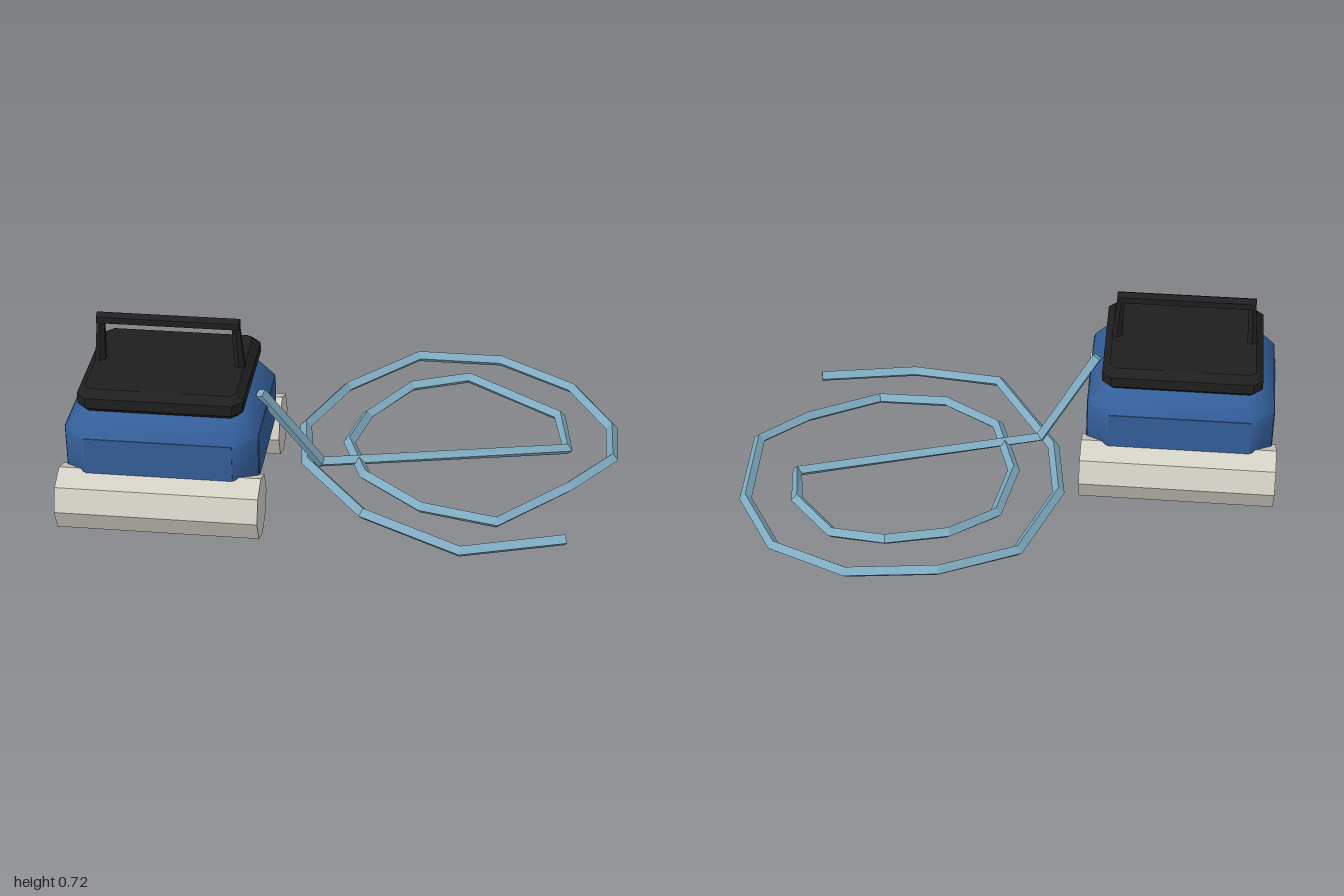
import * as THREE from 'three';
import { toCreasedNormals } from 'three/addons/utils/BufferGeometryUtils.js';

const material = (name, color) => {
  const m = new THREE.MeshStandardMaterial({ color });
  m.name = name;
  return m;
};

// Skins a stack of closed rings of Vector3 and caps both ends.
function loft(rings, crease) {
  const n = rings[0].length, last = (rings.length - 1) * n, index = [];
  for (let i = 0; i < rings.length - 1; i++) {
    for (let j = 0; j < n; j++) {
      const k = (j + 1) % n;
      const a = i * n + j, b = i * n + k;
      index.push(a, b, b + n, a, b + n, a + n);
    }
  }
  for (let j = 1; j < n - 1; j++) {
    index.push(0, j + 1, j, last, last + j, last + j + 1);
  }
  const g = new THREE.BufferGeometry().setFromPoints(rings.flat());
  g.setIndex(index);
  return toCreasedNormals(g, crease);
}

// Horizontal rectangle with cut corners: half width a, half depth b, cut c.
function cutRect(y, a, b, c) {
  return [
    [a, b - c], [a, c - b], [a - c, -b], [c - a, -b],
    [-a, c - b], [-a, b - c], [c - a, b], [a - c, b],
  ].map(([x, z]) => new THREE.Vector3(x, y, z));
}

// Four-sided cable along a bent path.
function cableGeometry(points, r) {
  const path = points.map((p) => new THREE.Vector3(...p));
  const up = new THREE.Vector3(0, 1, 0);
  const rings = path.map((p, i) => {
    const t = new THREE.Vector3();
    if (i > 0) t.add(p.clone().sub(path[i - 1]).normalize());
    if (i < path.length - 1) t.add(path[i + 1].clone().sub(p).normalize());
    t.normalize();
    const s = up.clone().cross(t).normalize();
    const n = t.clone().cross(s);
    return [0, 1, 2, 3].map((k) => p.clone()
      .addScaledVector(s, r * Math.cos(k * Math.PI / 2))
      .addScaledVector(n, r * Math.sin(k * Math.PI / 2)));
  });
  return loft(rings, 0.1);
}

export function createModel() {
  const blue = material('body blue', 0x345f9b);
  const black = material('lid black', 0x1f1f1f);
  const cream = material('roller cream', 0xd3d0c6);
  const cableBlue = material('cable blue', 0x7fabc1);

  const model = new THREE.Group();
  const robot = new THREE.Group();
  robot.name = 'robot';
  robot.position.set(-0.635, 0, 0.27);
  model.add(robot);

  const add = (parent, name, geometry, mat, x = 0, y = 0, z = 0) => {
    const mesh = new THREE.Mesh(geometry, mat);
    mesh.name = name;
    mesh.position.set(x, y, z);
    parent.add(mesh);
    return mesh;
  };

  // Body with bevelled top and underside
  add(robot, 'body', loft([
    cutRect(0.12, 0.28, 0.23, 0.03),
    cutRect(0.2, 0.347, 0.297, 0.075),
    cutRect(0.37, 0.347, 0.297, 0.075),
    cutRect(0.445, 0.28, 0.235, 0.03),
  ], 0.95), blue);

  // Flat panels on the four sides
  for (const s of [-1, 1]) {
    add(robot, 'longPanel', new THREE.BoxGeometry(0.53, 0.17, 0.006), blue, 0, 0.285, s * 0.297);
    add(robot, 'shortPanel', new THREE.BoxGeometry(0.006, 0.17, 0.43), blue, s * 0.347, 0.285, 0);
  }

  // Lid
  add(robot, 'lid', loft([
    cutRect(0.44, 0.27, 0.22, 0.02),
    cutRect(0.468, 0.297, 0.25, 0.035),
    cutRect(0.508, 0.297, 0.25, 0.035),
    cutRect(0.532, 0.27, 0.22, 0.02),
  ], 0.5), black);

  // Carrying handle
  const bar = new THREE.CylinderGeometry(0.024, 0.024, 0.515, 6, 1, false, Math.PI / 2);
  add(robot, 'handleBar', toCreasedNormals(bar, 0.3), black, 0, 0.698, 0).rotation.z = Math.PI / 2;
  for (const s of [-1, 1]) {
    const post = new THREE.CylinderGeometry(0.016, 0.022, 0.17, 6);
    add(robot, 'handlePost', toCreasedNormals(post, 0.3), black, s * 0.249, 0.61, 0).rotation.z = s * 0.06;
  }

  // Front and back rollers
  for (const s of [-1, 1]) {
    const roller = new THREE.CylinderGeometry(0.118, 0.118, 0.73, 8);
    add(robot, s > 0 ? 'frontRoller' : 'backRoller', toCreasedNormals(roller, 0.3), cream,
      0, 0.118, s * 0.282).rotation.z = Math.PI / 2;
  }

  // Coiled cable lying beside the robot
  add(model, 'cable', cableGeometry([
    [-0.31, 0.42, 0.27], [-0.1, 0.085, 0.185], [0.81, 0.045, -0.065],
    [0.775, 0.07, -0.26], [0.62, 0.045, -0.41], [0.41, 0.09, -0.48],
    [0.19, 0.08, -0.41], [0.03, 0.04, -0.235], [-0.015, 0.06, 0],
    [0.07, 0.08, 0.25], [0.29, 0.06, 0.41], [0.565, 0.035, 0.44],
    [0.82, 0.075, 0.24], [0.977, 0.092, 0.06], [0.977, 0.04, -0.24],
    [0.82, 0.05, -0.51], [0.53, 0.075, -0.655], [0.2, 0.09, -0.63],
    [-0.07, 0.04, -0.44], [-0.195, 0.055, -0.11], [-0.155, 0.06, 0.16],
    [0.09, 0.092, 0.52], [0.445, 0.035, 0.635], [0.815, 0.05, 0.545],
  ], 0.023), cableBlue);

  return model;
}
